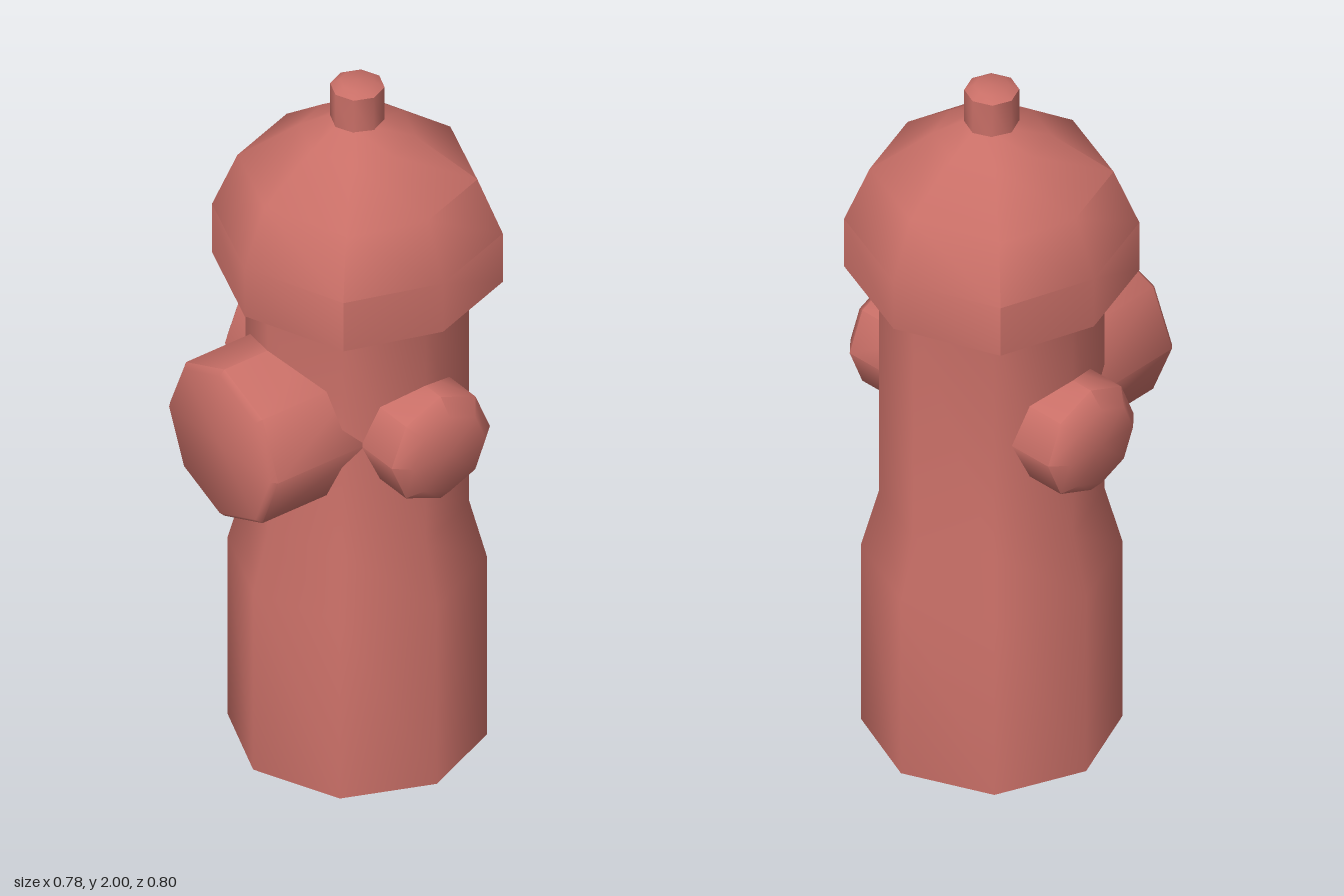
import * as THREE from 'three';
import { toCreasedNormals } from 'three/addons/utils/BufferGeometryUtils.js';

const SIDES = 8;
const AXIS_Z = -0.04;
const NOZZLE_Y = 1.055;

// Eight-sided turned solid from [radius, height] pairs, listed bottom to top
function turned(profile) {
  return new THREE.LatheGeometry(profile.map(([r, y]) => new THREE.Vector2(r, y)), SIDES);
}

export function createModel() {
  const group = new THREE.Group();
  const paint = new THREE.MeshStandardMaterial({ color: 0xc96f67 });
  const openPaint = new THREE.MeshStandardMaterial({ color: 0xc96f67, side: THREE.DoubleSide });

  const add = (name, geometry, y, material = paint) => {
    const mesh = new THREE.Mesh(toCreasedNormals(geometry, THREE.MathUtils.degToRad(50)), material);
    mesh.name = name;
    mesh.position.set(0, y, AXIS_Z);
    group.add(mesh);
    return mesh;
  };

  // Barrel, open underneath, with a wider foot
  add('barrel', turned([[0.333, 0], [0.333, 0.55], [0.287, 0.72], [0.287, 1.42]]), 0, openPaint);

  // Domed bonnet with a straight rim; its diagonal corners sit slightly wider
  const dome = turned([
    [0.26, 1.42], [0.36, 1.42], [0.36, 1.57], [0.297, 1.73], [0.145, 1.845], [0.06, 1.89],
  ]);
  const p = dome.attributes.position;
  for (let i = 0; i < p.count; i++) {
    if (Math.abs(p.getZ(i)) > 0.01) p.setX(i, p.getX(i) * 1.085);
  }
  add('bonnet', dome, 0);

  // Operating nut on top
  add('topNut', turned([[0.07, 1.85], [0.07, 1.985], [0.045, 2], [0, 2]]), 0);

  // Large front outlet
  const front = turned([[0.227, 0.1], [0.227, 0.425], [0.212, 0.44], [0, 0.44]]);
  add('frontOutlet', front.rotateX(Math.PI / 2), NOZZLE_Y);

  // Smaller bevelled outlet on each side
  for (const side of [1, -1]) {
    const outlet = turned([[0.157, 0.15], [0.157, 0.35], [0.115, 0.388], [0, 0.388]]);
    add(side > 0 ? 'leftOutlet' : 'rightOutlet', outlet.rotateZ(-side * Math.PI / 2), NOZZLE_Y);
  }

  return group;
}
